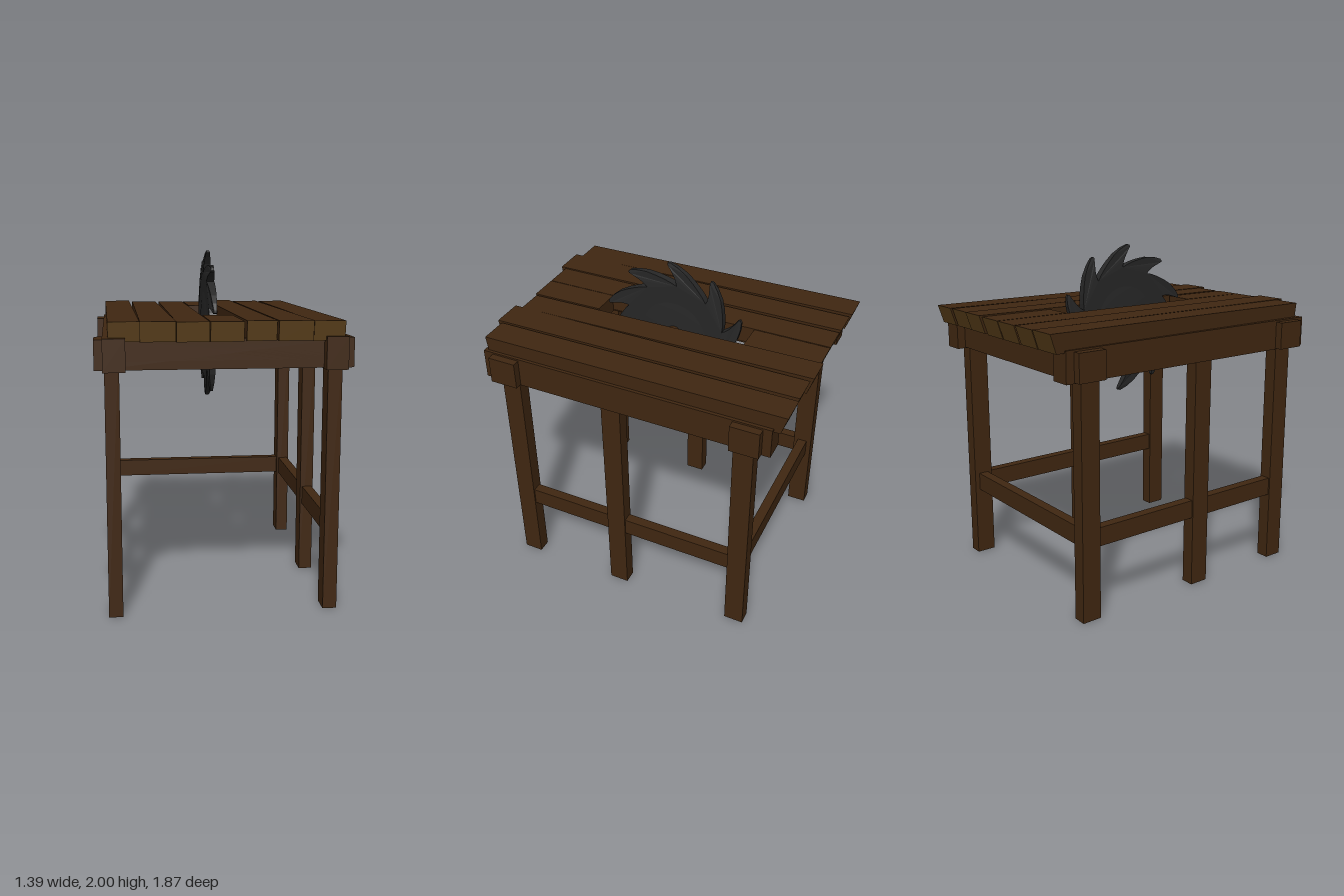
import * as THREE from 'three';

const wood = new THREE.MeshStandardMaterial({ color: 0x402711 });
const legWood = new THREE.MeshStandardMaterial({ color: 0x402711, side: THREE.DoubleSide });
const endGrain = new THREE.MeshStandardMaterial({ color: 0x593e1a });
const steel = new THREE.MeshStandardMaterial({ color: 0x272727 });

// Box given by its limits on each axis
function beam(name, [x0, x1], [y0, y1], [z0, z1]) {
  const geo = new THREE.BoxGeometry(x1 - x0, y1 - y0, z1 - z0);
  geo.translate((x0 + x1) / 2, (y0 + y1) / 2, (z0 + z1) / 2);
  const mesh = new THREE.Mesh(geo, wood);
  mesh.name = name;
  return mesh;
}

// Leg with a hollow, open foot
function leg(name, x, z) {
  const mesh = beam(name, x, [0, 1.5], z);
  const faces = Array.from(mesh.geometry.index.array);
  faces.splice(18, 6);
  mesh.geometry.setIndex(faces);
  mesh.geometry.clearGroups();
  mesh.material = legWood;
  return mesh;
}

// Slightly crooked board: x limits and top heights at the back and front, sloping sawn ends
function plank(name, back, front, zBack, zFront, topBack, topFront, slopeBack = 0.035, slopeFront = 0.015) {
  const geo = new THREE.BoxGeometry(1, 1, 1);
  const p = geo.attributes.position;
  for (let i = 0; i < p.count; i++) {
    const isFront = p.getZ(i) > 0, low = p.getY(i) < 0;
    const x = (isFront ? front : back)[p.getX(i) > 0 ? 1 : 0];
    const y = (isFront ? topFront : topBack) - (low ? 0.107 : 0);
    const z = isFront ? zFront - (low ? slopeFront : 0) : zBack + (low ? slopeBack : 0);
    p.setXYZ(i, x, y, z);
  }
  geo.computeVertexNormals();
  // Ends facing the slot keep the plain wood colour
  const mesh = new THREE.Mesh(geo, [wood, wood, wood, wood, slopeFront ? endGrain : wood, slopeBack ? endGrain : wood]);
  mesh.name = name;
  return mesh;
}

// Panel under the planks with a slot for the blade
function underPanel() {
  const rect = (target, x0, x1, z0, z1) => target.moveTo(x0, -z0).lineTo(x1, -z0).lineTo(x1, -z1).lineTo(x0, -z1).closePath();
  const shape = rect(new THREE.Shape(), -0.54, 0.54, -0.8, 0.85);
  shape.holes.push(rect(new THREE.Path(), -0.08, 0.073, -0.465, 0.46));
  const geo = new THREE.ExtrudeGeometry(shape, { depth: 0.11, bevelEnabled: false });
  geo.rotateX(-Math.PI / 2);
  const mesh = new THREE.Mesh(geo, wood);
  mesh.name = 'underPanel';
  mesh.position.y = 1.43;
  return mesh;
}

// Saw disc with hooked teeth, thinning toward the rim
function sawBlade() {
  const group = new THREE.Group();
  group.name = 'sawBlade';
  const teeth = 10, tipRadius = 0.452;
  const at = (deg, r) => new THREE.Vector2(Math.cos(deg * Math.PI / 180) * r, Math.sin(deg * Math.PI / 180) * r);
  const tooth = [[-45, 0.315], [-39, 0.33], [-31, 0.35], [-24, 0.372], [-16, 0.402], [-8, 0.43], [-2, 0.449],
    [0, 0.447], [0.3, 0.437], [-2, 0.41], [-6, 0.365], [-8, 0.335]];
  const points = [];
  for (let i = 0; i < teeth; i++) {
    for (const [deg, r] of tooth) points.push(at(95.5 + i * 36 + deg, r));
  }
  const half = (r) => 0.005 + 0.026 * Math.sqrt(Math.max(0, 1 - (r / tipRadius) ** 2));
  const geo = new THREE.ExtrudeGeometry(new THREE.Shape(points), { depth: 2, bevelEnabled: false });
  geo.translate(0, 0, -1);
  const p = geo.attributes.position;
  for (let i = 0; i < p.count; i++) p.setZ(i, p.getZ(i) * half(Math.hypot(p.getX(i), p.getY(i))));
  geo.computeVertexNormals();
  geo.rotateY(Math.PI / 2);
  const rim = new THREE.Mesh(geo, steel);
  rim.name = 'toothedRim';

  // Domed centre of the disc
  const profile = [];
  for (let i = 0; i <= 12; i++) {
    const a = -Math.PI / 2 + (i / 12) * Math.PI;
    profile.push(new THREE.Vector2(Math.max(0, Math.cos(a)) * 0.312, Math.sin(a) * 0.031));
  }
  const dome = new THREE.Mesh(new THREE.LatheGeometry(profile, 40), steel);
  dome.rotation.z = Math.PI / 2;
  dome.name = 'discCentre';
  group.add(rim, dome);
  group.position.set(-0.009, 1.553, 0.003);
  return group;
}

export function createModel() {
  const model = new THREE.Group();
  model.name = 'sawTable';

  // Six legs, side rails and low side stretchers
  for (const s of [-1, 1]) {
    const side = s > 0 ? 'left' : 'right';
    const span = (a, b) => (s > 0 ? [a, b] : [-b, -a]);
    const legs = { Front: [0.693, 0.81], Middle: [0.042, 0.16], Back: [-0.755, -0.637] };
    for (const [place, z] of Object.entries(legs)) {
      model.add(leg(side + place + 'Leg', span(0.563, 0.642), z));
    }
    model.add(beam(side + 'Rail', span(0.53, 0.65), [1.378, 1.555], [-0.85, 0.91]));
    model.add(beam(side + 'Stretcher', span(0.574, 0.633), [0.43, 0.54], [-0.695, 0.75]));
  }

  // Cross rails at both ends, stretcher only at the back
  model.add(beam('frontCrossRail', [-0.695, 0.695], [1.383, 1.545], [0.68, 0.85]));
  model.add(beam('backCrossRail', [-0.695, 0.695], [1.383, 1.545], [-0.8, -0.63]));
  model.add(beam('backStretcher', [-0.6, 0.6], [0.43, 0.54], [-0.725, -0.665]));

  // Table top: back x limits, front x limits, back z, front z, back and front heights
  const boards = [
    [[-0.64, -0.472], [-0.62, -0.455], -0.935, 0.885, 1.648, 1.64],
    [[-0.45, -0.285], [-0.455, -0.268], -0.925, 0.93, 1.643, 1.643],
    [[-0.262, -0.092], [-0.264, -0.09], -0.92, 0.9, 1.64, 1.638],
    [[0.088, 0.25], [0.108, 0.268], -0.935, 0.885, 1.648, 1.64],
    [[0.272, 0.443], [0.27, 0.455], -0.92, 0.93, 1.643, 1.643],
    [[0.465, 0.63], [0.463, 0.632], -0.922, 0.9, 1.642, 1.638],
  ];
  boards.forEach((b, i) => model.add(plank('plank' + (i + 1), ...b)));

  // Middle board is split to leave the blade slot
  model.add(plank('slotPlankBack', [-0.085, 0.083], [-0.085, 0.085], -0.92, -0.465, 1.64, 1.64, 0.035, 0));
  model.add(plank('slotPlankFront', [-0.085, 0.088], [-0.086, 0.092], 0.46, 0.9, 1.64, 1.638, 0, 0.015));
  model.add(underPanel());

  // Axle and blade
  const axle = new THREE.Mesh(new THREE.CylinderGeometry(0.05, 0.05, 0.55, 16), wood);
  axle.name = 'axle';
  axle.rotation.z = Math.PI / 2;
  axle.position.set(-0.01, 1.553, -0.005);
  model.add(axle, sawBlade());
  return model;
}
